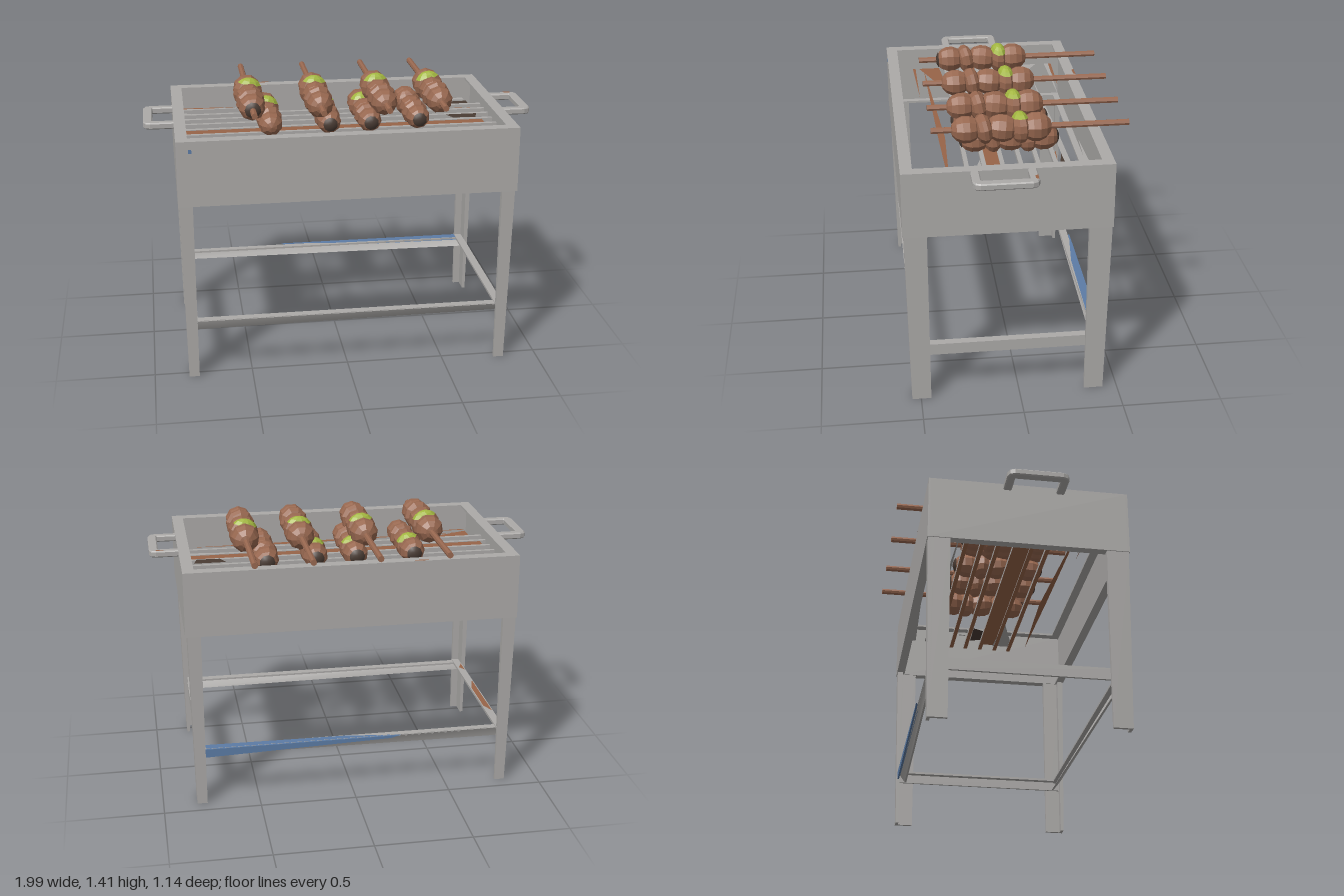
import * as THREE from 'three';

const mat = (name, color, extra = {}) => {
  const m = new THREE.MeshStandardMaterial({ color, ...extra });
  m.name = name;
  return m;
};

export function createModel() {
  const steel = mat('steel', 0xacaaa8, { side: THREE.DoubleSide });
  const meat = mat('meat', 0x986850, { flatShading: true });
  const pepper = mat('pepper', 0xa2b640, { flatShading: true });
  const rust = mat('rust', 0x986448, { side: THREE.DoubleSide });
  const char = mat('char', 0x4a3c34, { side: THREE.DoubleSide });
  const blue = mat('blueSteel', 0x5c7ca6, { side: THREE.DoubleSide });

  const model = new THREE.Group();
  model.name = 'barbecueGrill';

  const group = (name, parent = model) => {
    const g = new THREE.Group();
    g.name = name;
    parent.add(g);
    return g;
  };
  const add = (parent, name, geometry, material) => {
    const m = new THREE.Mesh(geometry, material);
    m.name = name;
    parent.add(m);
    return m;
  };
  const points = list => list.map(p => new THREE.Vector2(...p));
  // box given by its limits on each axis
  const box = (parent, name, x0, x1, y0, y1, z0, z1, material = steel) => {
    const g = new THREE.BoxGeometry(x1 - x0, y1 - y0, z1 - z0);
    g.translate((x0 + x1) / 2, (y0 + y1) / 2, (z0 + z1) / 2);
    return add(parent, name, g, material);
  };
  // flat horizontal patch given by x, z corners
  const patch = (parent, name, corners, material, y) => {
    const g = new THREE.ShapeGeometry(new THREE.Shape(points(corners.map(([x, z]) => [x, -z]))));
    g.rotateX(-Math.PI / 2);
    g.translate(0, y, 0);
    add(parent, name, g, material);
  };

  // Fire box: four walls with a flat rim above and a narrow lip below
  const X0 = -0.845, X1 = 0.85, Z0 = -0.445, Z1 = 0.565, Y0 = 0.942, Y1 = 1.275, T = 0.012;
  const body = group('fireBox');
  box(body, 'frontWall', X0, X1, Y0, Y1, Z1 - T, Z1);
  box(body, 'backWall', X0, X1, Y0, Y1, Z0, Z0 + T);
  box(body, 'leftWall', X1 - T, X1, Y0, Y1, Z0, Z1);
  box(body, 'rightWall', X0, X0 + T, Y0, Y1, Z0, Z1);

  const frame = (name, width, y) => {
    const s = new THREE.Shape(points([[X0, Z0], [X1, Z0], [X1, Z1], [X0, Z1]]));
    s.holes.push(new THREE.Path(points([
      [X0 + width, Z0 + width], [X0 + width, Z1 - width],
      [X1 - width, Z1 - width], [X1 - width, Z0 + width],
    ])));
    const g = new THREE.ExtrudeGeometry(s, { depth: T, bevelEnabled: false });
    g.rotateX(Math.PI / 2);
    g.translate(0, y, 0);
    add(body, name, g, steel);
  };
  frame('topRim', 0.058, Y1);
  frame('bottomLip', 0.045, Y0 + T);
  box(body, 'blueChip', -0.785, -0.77, 1.215, 1.235, Z1, Z1 + 0.002, blue);
  patch(body, 'rustChip', [[-0.38, -0.445], [-0.3, -0.445], [-0.315, -0.432], [-0.365, -0.432]], rust, Y1 + 0.002);

  // Angle-iron legs, a little wider at the top
  const legs = group('legs');
  for (const sx of [-1, 1]) for (const front of [true, false]) {
    const leg = group((front ? 'front' : 'back') + (sx > 0 ? 'Left' : 'Right') + 'Leg', legs);
    const sz = front ? 1 : -1;
    const outerZ = front ? 0.545 : -0.427;
    const plate = (name, w, d) => {
      const g = new THREE.BoxGeometry(w, 0.945, d);
      g.translate(sx * (0.825 - w / 2), 0.4775, outerZ - sz * d / 2);
      const p = g.attributes.position;
      for (let i = 0; i < p.count; i++) {
        if (p.getY(i) < 0.5) continue;
        if (Math.abs(p.getX(i)) > 0.824) p.setX(i, sx * 0.84);
        if (Math.abs(p.getZ(i) - outerZ) < 0.001) p.setZ(i, outerZ + sz * 0.015);
      }
      g.computeVertexNormals();
      add(leg, name, g, steel);
    };
    plate('sideFlange', 0.016, 0.096);
    plate('faceFlange', 0.052, 0.016);
  }

  // Lower rails: the long ones twist, so the lower edge runs inward at one end
  const rails = group('rails');
  const longRail = (name, z, inward) => {
    const g = new THREE.BoxGeometry(1.64, 0.05, 0.01);
    g.translate(0, 0.283, z);
    const p = g.attributes.position;
    for (let i = 0; i < p.count; i++) {
      if (p.getY(i) < 0.28) p.setZ(i, p.getZ(i) + inward * (p.getX(i) > 0 ? 1 : 0.4));
    }
    g.computeVertexNormals();
    add(rails, name, g, steel);
    box(rails, name + 'Shelf', -0.82, 0.82, 0.3, 0.31, Math.min(z, z + inward), Math.max(z, z + inward));
  };
  longRail('frontRail', 0.53, -0.04);
  longRail('backRail', -0.41, 0.035);
  const bluePlate = new THREE.ExtrudeGeometry(
    new THREE.Shape(points([[0.8, 0.265], [0.8, 0.311], [-0.25, 0.311], [-0.2, 0.298]])),
    { depth: 0.009, bevelEnabled: false });
  bluePlate.translate(0, 0, -0.424);
  add(rails, 'bluePlate', bluePlate, blue);
  patch(rails, 'blueShelf', [[0.8, -0.415], [0.8, -0.372], [0.05, -0.385], [-0.2, -0.415]], blue, 0.313);
  patch(rails, 'blueUnderside', [[0.8, -0.41], [0.8, -0.372], [0.05, -0.385], [-0.2, -0.41]], blue, 0.297);
  for (const s of [-1, 1]) {
    const x = s * 0.805;
    box(rails, 'sideRail', x - 0.006, x + 0.006, 0.255, 0.315, -0.42, 0.54);
    box(rails, 'sideRailShelf', x - (s > 0 ? 0.035 : 0), x + (s > 0 ? 0 : 0.035), 0.303, 0.315, -0.42, 0.54);
  }
  patch(rails, 'railRust', [[-0.805, -0.22], [-0.775, -0.15], [-0.775, 0.1], [-0.805, 0.2]], rust, 0.317);
  patch(rails, 'railRust', [[-0.805, 0.36], [-0.78, 0.4], [-0.805, 0.45]], rust, 0.317);

  // Carrying handles: flat bars bent into a U with soft edges
  for (const s of [-1, 1]) {
    const outline = (end, a, b, r) => [
      [0.84, a], [end - r, a], [end - r * 0.3, a + r * 0.3], [end, a + r],
      [end, b - r], [end - r * 0.3, b - r * 0.3], [end - r, b], [0.84, b],
    ];
    const pts = [...outline(0.99, -0.064, 0.235, 0.03), ...outline(0.955, -0.034, 0.205, 0.008).reverse()];
    const shape = new THREE.Shape(points(pts.map(([x, z]) => [s * x, z])));
    const g = new THREE.ExtrudeGeometry(shape, {
      depth: 0.022, bevelSize: 0.006, bevelThickness: 0.006, bevelSegments: 1,
    });
    g.rotateX(Math.PI / 2);
    g.translate(0, 1.269, 0);
    add(model, s > 0 ? 'leftHandle' : 'rightHandle', g, steel);
  }
  patch(model, 'handleRust', [[0.92, -0.065], [0.965, -0.065], [0.96, -0.05], [0.93, -0.052]], rust, 1.277);

  // Grate bars, rusty underneath, with loose strips along the box
  const grate = group('grate');
  for (const z of [-0.2, -0.115, -0.03, 0.06, 0.15, 0.235]) {
    box(grate, 'grateBar', X0 + T, X1 - T, 1.157, 1.177, z - 0.011, z + 0.011,
      [steel, steel, steel, rust, steel, steel]);
  }
  box(grate, 'rustyStrip', -0.8, 0.78, 1.165, 1.173, 0.07, 0.14, rust);
  const scraps = [
    ['rustySliver', [[-0.78, -0.38], [-0.45, -0.37], [-0.78, -0.355]], rust],
    ['rustySliver', [[-0.78, 0.27], [-0.4, 0.24], [-0.5, 0.28], [-0.78, 0.385]], rust],
    ['rustySliver', [[-0.78, 0.36], [0.2, 0.31], [0.78, 0.33], [0.2, 0.345]], rust],
    ['rustySliver', [[-0.78, 0.42], [-0.34, 0.405], [-0.78, 0.405]], rust],
    ['rustySliver', [[0.42, -0.225], [0.78, -0.2], [0.78, -0.18], [0.5, -0.2]], rust],
    ['steelSliver', [[-0.6, -0.24], [0.1, -0.268], [0.78, -0.285], [0.78, -0.25]], steel],
    ['steelSliver', [[0.78, 0.13], [0.78, 0.25], [0.45, 0.15]], steel],
    ['steelSliver', [[-0.78, -0.29], [-0.7, -0.24], [-0.78, -0.2]], steel],
    ['steelSliver', [[0.78, -0.38], [0.78, -0.34], [0.3, -0.36]], steel],
    ['steelSliver', [[-0.78, -0.34], [-0.3, -0.35], [-0.78, -0.365]], steel],
  ];
  for (const [name, corners, material] of scraps) patch(grate, name, corners, material, 1.16);
  patch(grate, 'charredPatch', [[0.6, -0.01], [0.77, -0.01], [0.75, 0.055], [0.63, 0.05]], char, 1.18);
  patch(grate, 'charredPatch', [[0.5, -0.24], [0.77, -0.25], [0.77, -0.2], [0.66, -0.21]], char, 1.18);

  // Kebabs: lumps of meat threaded along z with one pepper-topped slice
  const lumps = [ // z, radius, half length, tilt
    [0.23, 0.069, 0.075, 0], [0.145, 0.077, 0.045, 0.15], [0.055, 0.07, 0.08, -0.1], [-0.112, 0.074, 0.078, 0],
  ];
  const kebab = (x, y, dz, size, turn, skewered, hasPepper, charredEnds) => {
    const k = group(skewered ? 'skewer' : 'lowerKebab');
    k.position.set(x, y, dz);
    lumps.forEach(([z, r, half, tilt], i) => {
      const g = new THREE.SphereGeometry(1, 9, 7);
      g.rotateX(Math.PI / 2);
      const m = add(k, 'meatPiece', g, meat);
      m.scale.set(r * size, r * size, half);
      m.rotation.set(tilt, tilt, turn + i * 0.7);
      m.position.z = z;
    });
    const slice = group('pepperSlice', k);
    slice.position.z = -0.035;
    slice.scale.set(0.078 * size, 0.08 * size, 0.05);
    slice.rotation.set(0, 0.12, turn * 0.4);
    const cut = 0.95;
    add(slice, 'sliceTop', new THREE.SphereGeometry(1, 9, 3, 0, Math.PI * 2, 0, cut), hasPepper ? pepper : meat);
    add(slice, 'sliceBase', new THREE.SphereGeometry(1, 9, 5, 0, Math.PI * 2, cut, Math.PI - cut), meat);
    // burnt caps: direction along z for each end
    for (const dir of charredEnds) {
      const [z, r, half] = dir > 0 ? lumps[0] : lumps[3];
      const g = new THREE.SphereGeometry(1.04, 9, 3, 0, Math.PI * 2, 0, 0.62);
      g.rotateX(dir * Math.PI / 2);
      const cap = add(k, 'charredEnd', g, char);
      cap.scale.set(r * size, r * size, half);
      cap.position.z = z;
    }
    if (skewered) {
      const stick = add(k, 'stick', new THREE.CylinderGeometry(0.016, 0.016, 0.97, 8), meat);
      stick.rotation.x = Math.PI / 2;
      stick.position.z = -0.085;
    }
  };
  [-0.45, -0.105, 0.225, 0.51].forEach((x, i) =>
    kebab(x, 1.337, 0, 1, (i - 1.5) * 0.35, true, true, i === 0 ? [1] : []));
  [-0.355, -0.055, 0.155, 0.41].forEach((x, i) =>
    kebab(x, 1.236, i === 3 ? -0.05 : -0.03, 0.9, (i - 1.5) * 0.5, false, i < 3, i === 0 ? [-1] : [1, -1]));

  return model;
}
